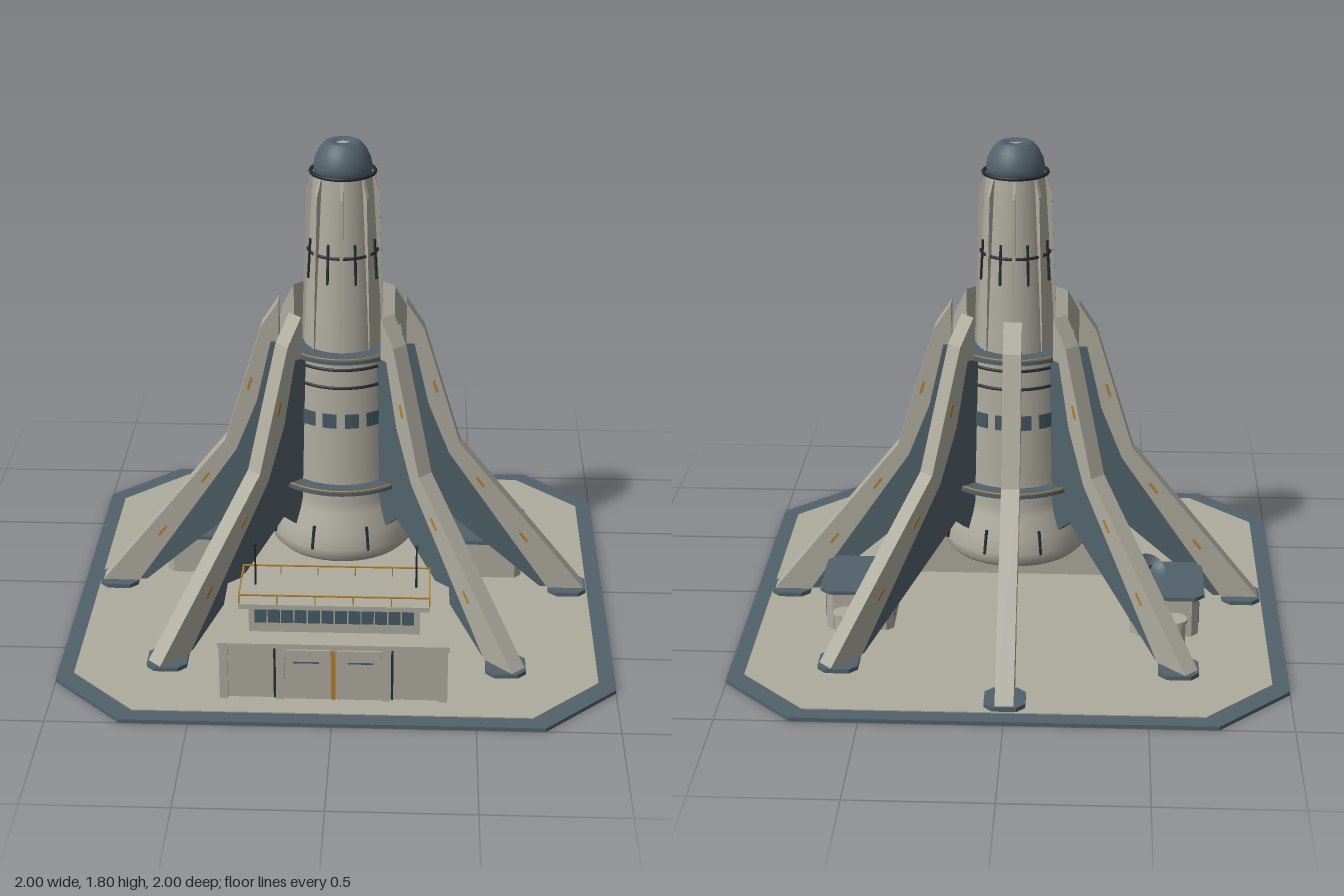
import * as THREE from 'three';

const mat = (name, color, side = THREE.FrontSide) => {
  const m = new THREE.MeshStandardMaterial({ color, side });
  m.name = name;
  return m;
};

export function createModel() {
  const concrete = mat('concrete', 0xaeab9e);
  const steel = mat('blue steel', 0x52626b, THREE.DoubleSide);
  const dark = mat('dark metal', 0x262d32);
  const glass = mat('window blue', 0x465965);
  const orange = mat('orange marking', 0xb57f30);

  const model = new THREE.Group();
  model.name = 'launchTower';

  const add = (name, geo, m, x = 0, y = 0, z = 0, parent = model) => {
    const mesh = new THREE.Mesh(geo, m);
    mesh.name = name;
    mesh.position.set(x, y, z);
    parent.add(mesh);
    return mesh;
  };
  const box = (name, w, h, d, m, x, y, z, parent) =>
    add(name, new THREE.BoxGeometry(w, h, d), m, x, y, z, parent);
  const cyl = (name, r1, r2, h, m, x, y, z, parent, n = 24) =>
    add(name, new THREE.CylinderGeometry(r1, r2, h, n), m, x, y, z, parent);
  const ring = (name, r, t, m, y) =>
    add(name, new THREE.TorusGeometry(r, t, 8, 48).rotateX(Math.PI / 2), m, 0, y, 0);
  const lathe = (name, pts, m) =>
    add(name, new THREE.LatheGeometry(pts.map(p => new THREE.Vector2(...p)), 48), m);
  const polygon = pts => new THREE.Shape(pts.map(p => new THREE.Vector2(...p)));

  // Flat slab with chamfered corners, from y0 up to y0 + h
  const slab = (name, w, d, c, h, m, x, y0, z) => {
    const a = w / 2, b = d / 2;
    const s = polygon([[a, b - c], [a - c, b], [c - a, b], [-a, b - c],
      [-a, c - b], [c - a, -b], [a - c, -b], [a, c - b]]);
    const g = new THREE.ExtrudeGeometry(s, { depth: h, bevelEnabled: false });
    return add(name, g.rotateX(-Math.PI / 2), m, x, y0, z);
  };

  // Ground platform
  slab('platformRim', 2, 2, 0.26, 0.014, steel, 0, 0, 0);
  slab('platformDeck', 1.88, 1.88, 0.24, 0.004, concrete, 0, 0.014, 0);

  // Tower: main shaft with flared skirt, and slimmer upper shaft
  lathe('lowerShaft', [[0.2, 0.24], [0.245, 0.245], [0.265, 0.265], [0.268, 0.3],
    [0.255, 0.36], [0.228, 0.43], [0.218, 0.47], [0.214, 0.6], [0.2, 1.0], [0.2, 1.04]], concrete);
  cyl('skirtBase', 0.21, 0.21, 0.01, dark, 0, 0.245, 0, model, 48);
  lathe('upperShaft', [[0.145, 1.03], [0.137, 1.2], [0.122, 1.45], [0.112, 1.62], [0.105, 1.69]], concrete);
  cyl('lowerFlange', 0.285, 0.285, 0.014, steel, 0, 0.54, 0, model, 48);
  cyl('upperFlange', 0.226, 0.226, 0.014, steel, 0, 1.037, 0, model, 48);
  ring('lowerFlangeMarking', 0.275, 0.003, orange, 0.548);
  ring('upperFlangeMarking', 0.212, 0.003, orange, 1.045);
  ring('shaftBand', 0.201, 0.006, dark, 1.0);
  ring('shaftBand', 0.203, 0.006, dark, 0.93);
  ring('upperBand', 0.126, 0.006, dark, 1.4);
  ring('capRing', 0.116, 0.007, dark, 1.693);

  // Nose cap with a small hatch
  lathe('noseCap', [[0.09, 1.68], [0.104, 1.69], [0.106, 1.715], [0.1, 1.745],
    [0.085, 1.775], [0.066, 1.798], [0.055, 1.803], [0.03, 1.803], [0.028, 1.79], [0.0, 1.79]], steel);
  cyl('capHatch', 0.027, 0.027, 0.004, concrete, 0, 1.792, 0);

  // Details repeated around the tower
  const around = (n, offset, fn) => {
    for (let i = 0; i < n; i++) {
      const g = new THREE.Group();
      g.name = 'towerDetail';
      g.rotation.y = offset + i * Math.PI * 2 / n;
      model.add(g);
      fn(g);
    }
  };
  const ribShape = polygon([[0.09, 1.04], [0.15, 1.04], [0.146, 1.2], [0.131, 1.62], [0.112, 1.68], [0.09, 1.68]]);
  around(8, 0, g => {
    add('upperRib', new THREE.ExtrudeGeometry(ribShape, { depth: 0.012, bevelEnabled: false }), concrete, 0, 0, -0.006, g);
  });
  around(8, Math.PI / 8, g => {
    box('upperVent', 0.012, 0.15, 0.008, dark, 0.127, 1.375, 0, g).rotation.z = 0.06;
    box('skirtVent', 0.012, 0.09, 0.008, dark, 0.262, 0.34, 0, g).rotation.z = 0.2;
  });
  around(16, Math.PI / 16, g => {
    for (const s of [-1, 1]) {
      const pane = box('towerWindow', 0.006, 0.055, 0.026, glass, 0.2075, 0.8, s * 0.0125, g);
      pane.rotation.y = -s * 0.06;
    }
  });

  // Seven buttress fins, leaving the front open
  const beam = polygon([[0.93, 0.03], [0.44, 0.64], [0.3, 1.1], [0.235, 1.2],
    [0.235, 1.04], [0.265, 1.04], [0.32, 0.8], [0.4, 0.6], [0.79, 0.03]]);
  const web = polygon([[0.2, 0.37], [0.25, 0.37], [0.31, 0.42], [0.76, 0.03], [0.82, 0.03],
    [0.42, 0.6], [0.34, 0.8], [0.28, 1.04], [0.2, 1.04]]);
  const plate = (s, t) => new THREE.ExtrudeGeometry(s, { depth: t, bevelEnabled: false }).translate(0, 0, -t / 2);
  const beamGeo = plate(beam, 0.066), webGeo = plate(web, 0.03);
  for (let i = 0; i < 8; i++) {
    if (i === 6) continue;
    const a = i * Math.PI / 4;
    const fin = new THREE.Group();
    fin.name = 'buttress';
    fin.rotation.y = a;
    model.add(fin);
    add('buttressBeam', beamGeo, concrete, 0, 0, 0, fin);
    add('buttressWeb', webGeo, steel, 0, 0, 0, fin);
    for (const [r, y, tilt] of [[0.345, 0.87, -1.28], [0.52, 0.48, -0.92], [0.69, 0.25, -0.92]])
      box('buttressMarking', 0.05, 0.01, 0.07, orange, r, y, 0, fin).rotation.z = tilt;
    slab('footPad', 0.145, 0.145, 0.03, 0.018, steel, 0.863 * Math.cos(a), 0.016, -0.863 * Math.sin(a));
  }

  // Control building at the front
  box('mainHall', 0.78, 0.215, 0.67, concrete, 0, 0.122, 0.505);
  box('mainRoof', 0.81, 0.018, 0.7, concrete, 0, 0.233, 0.507);
  for (const s of [-1, 1]) {
    for (const x of [0.385, 0.185]) box('frontColumn', 0.03, 0.21, 0.03, concrete, s * x, 0.12, 0.838);
    box('columnShadowGap', 0.008, 0.2, 0.006, dark, s * 0.206, 0.118, 0.841);
    box('hangarDoor', 0.155, 0.195, 0.008, concrete, s * 0.088, 0.115, 0.843);
    box('doorHandle', 0.09, 0.005, 0.006, glass, s * 0.095, 0.165, 0.847);
    box('rearColumn', 0.03, 0.21, 0.03, concrete, s * 0.385, 0.12, 0.18);
  }
  box('doorStripe', 0.016, 0.195, 0.008, orange, 0, 0.115, 0.846);
  box('upperOffice', 0.6, 0.105, 0.2, concrete, 0, 0.292, 0.67);
  box('officeRoof', 0.67, 0.018, 0.23, concrete, 0, 0.346, 0.667);
  for (let i = 0; i < 12; i++)
    box('officeWindow', 0.042, 0.05, 0.006, glass, -0.2585 + i * 0.047, 0.305, 0.771);

  // Roof railing and antennas
  for (const z of [0.557, 0.777]) {
    box('railing', 0.67, 0.005, 0.005, orange, 0, 0.39, z);
    for (let i = 0; i < 6; i++) box('railPost', 0.004, 0.04, 0.004, orange, -0.333 + i * 0.1332, 0.372, z);
  }
  for (const s of [-1, 1]) {
    box('railing', 0.005, 0.005, 0.22, orange, s * 0.333, 0.39, 0.667);
    cyl('antenna', 0.003, 0.004, 0.16, dark, s * 0.285, 0.435, 0.635, model, 8);
    add('antennaTip', new THREE.SphereGeometry(0.006, 10, 8), dark, s * 0.285, 0.515, 0.635);
  }

  // Side sheds and storage tanks
  for (const s of [-1, 1]) {
    slab('shed', 0.25, 0.27, 0.025, 0.155, concrete, s * 0.565, 0.016, -0.205);
    slab('shedRoof', 0.29, 0.31, 0.035, 0.014, steel, s * 0.565, 0.17, -0.205);
    for (let i = 0; i < 4; i++)
      box('shedWindow', 0.256, 0.08, 0.016, glass, s * 0.565, 0.1, -0.3 + i * 0.063);
    cyl('tank', 0.036, 0.036, 0.14, concrete, s * 0.6, 0.087, -0.5);
    cyl('tankLid', 0.042, 0.042, 0.014, concrete, s * 0.6, 0.165, -0.5);
    cyl('tankBase', 0.042, 0.042, 0.014, concrete, s * 0.6, 0.024, -0.5);
  }

  // Dish on the right-hand shed
  const dish = new THREE.Group();
  dish.name = 'dish';
  dish.position.set(-0.5, 0.225, -0.225);
  dish.rotation.set(-0.45, 0, 0.35);
  model.add(dish);
  const bowl = [[0, 0], [0.025, 0.004], [0.045, 0.014], [0.06, 0.03]].map(p => new THREE.Vector2(...p));
  add('dishBowl', new THREE.LatheGeometry(bowl, 24), steel, 0, 0, 0, dish);
  cyl('dishFeed', 0.003, 0.003, 0.04, dark, 0, 0.02, 0, dish, 8);
  cyl('dishMast', 0.01, 0.014, 0.045, dark, -0.5, 0.204, -0.225, model, 12);

  return model;
}
